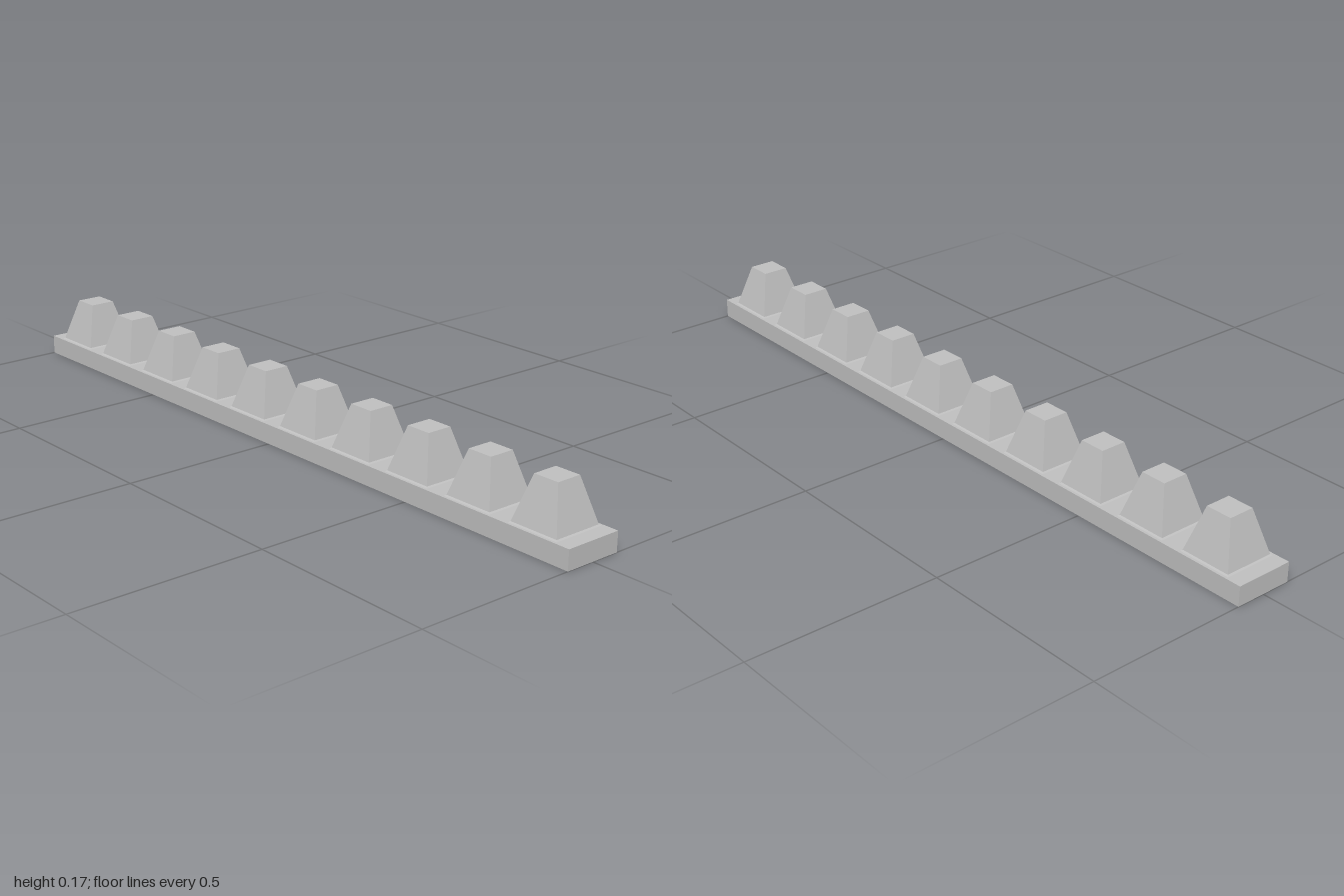
import * as THREE from 'three';

// Square frustum standing on y = 0, sized by half widths
function frustum(bottomHalf, topHalf, height) {
  const g = new THREE.CylinderGeometry(topHalf * Math.SQRT2, bottomHalf * Math.SQRT2, height, 4);
  g.rotateY(Math.PI / 4);
  g.translate(0, height / 2, 0);
  const flat = g.toNonIndexed();
  flat.computeVertexNormals();
  return flat;
}

export function createModel() {
  const group = new THREE.Group();
  group.name = 'toothedRail';
  const grey = new THREE.MeshStandardMaterial({ color: 0xc0c0c0 });
  grey.name = 'light grey';

  const add = (name, geometry, y, z) => {
    const mesh = new THREE.Mesh(geometry, grey);
    mesh.name = name;
    mesh.position.set(0, y, z);
    group.add(mesh);
  };

  // Long flat base
  const baseHeight = 0.051;
  add('base', new THREE.BoxGeometry(0.156, baseHeight, 2), baseHeight / 2, 0);

  // Ten tapered teeth, each with a slight flare at its foot
  const footHeight = 0.003;
  const foot = frustum(0.071, 0.067, footHeight);
  const tooth = frustum(0.067, 0.0345, 0.113);
  const count = 10, reach = 0.888;
  for (let i = 0; i < count; i++) {
    const z = reach - (i * 2 * reach) / (count - 1);
    add('toothFoot', foot, baseHeight, z);
    add('tooth', tooth, baseHeight + footHeight, z);
  }
  return group;
}
